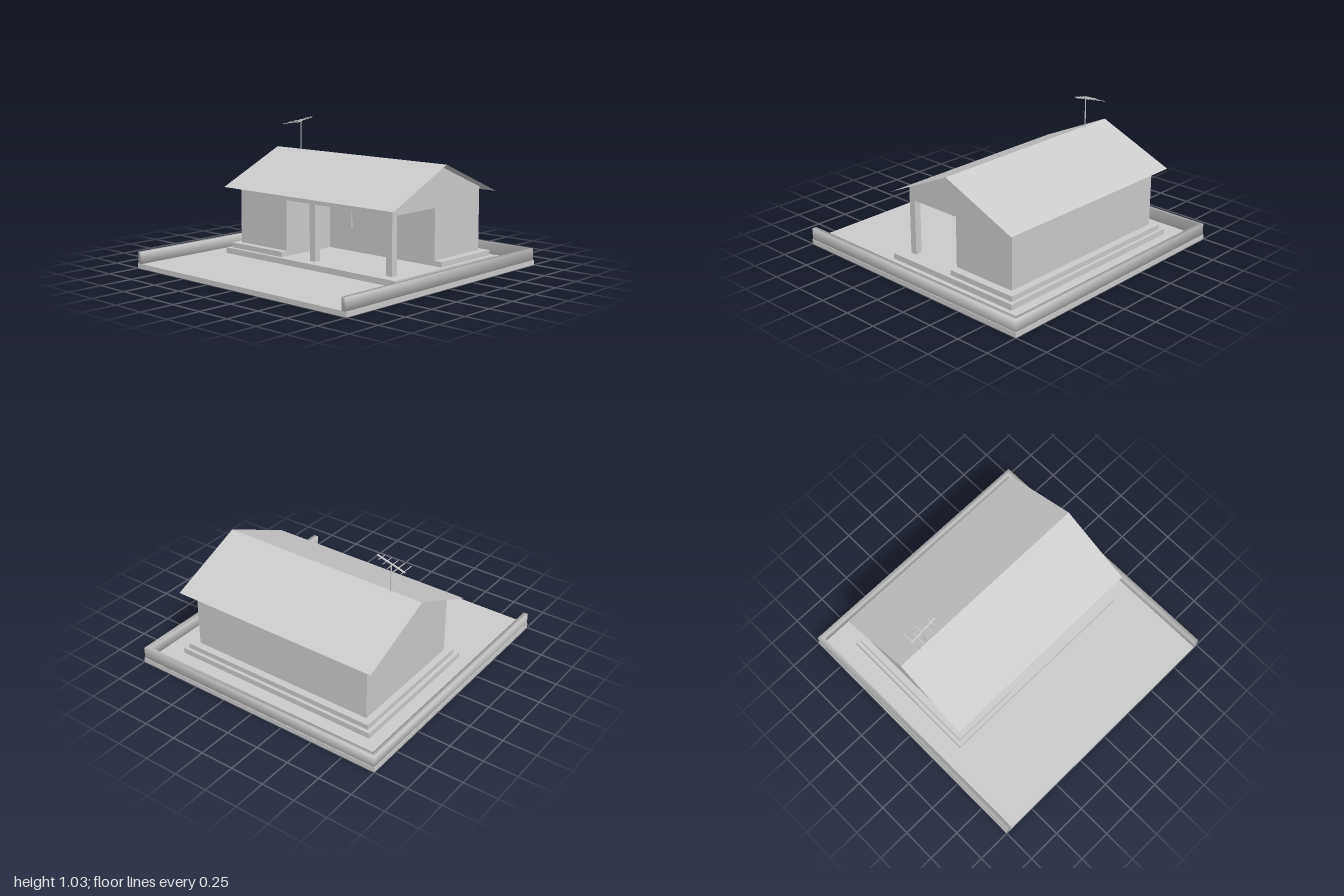
import * as THREE from 'three';
import { mergeVertices } from 'three/addons/utils/BufferGeometryUtils.js';

const grey = new THREE.MeshStandardMaterial({ color: 0xcccccc });
const sheet = new THREE.MeshStandardMaterial({ color: 0xcccccc, side: THREE.DoubleSide });

export function createModel() {
  const model = new THREE.Group();

  const add = (name, geometry, material = grey, parent = model) => {
    const mesh = new THREE.Mesh(geometry, material);
    mesh.name = name;
    parent.add(mesh);
    return mesh;
  };
  // Box given by its limits on each axis
  const block = (name, x0, x1, y0, y1, z0, z1, parent) =>
    add(name, new THREE.BoxGeometry(x1 - x0, y1 - y0, z1 - z0), grey, parent)
      .position.set((x0 + x1) / 2, (y0 + y1) / 2, (z0 + z1) / 2);
  const extrude = (points, depth) => new THREE.ExtrudeGeometry(
    new THREE.Shape(points.map(([a, b]) => new THREE.Vector2(a, b))), { depth, bevelEnabled: false });
  // Floor plan of [x, z] points raised from y0 to y1
  const plan = (points, y0, y1) =>
    extrude(points.map(([x, z]) => [x, -z]), y1 - y0).rotateX(-Math.PI / 2).translate(0, y0, 0);
  // Side profile of [z, y] points swept from x0 to x1
  const sweep = (points, x0, x1) =>
    extrude(points.map(([z, y]) => [-z, y]), x1 - x0).rotateY(Math.PI / 2).translate(x0, 0, 0);

  // Ground slab and the low wall around three sides, softly shaded
  block('groundSlab', -1, 1, 0, 0.035, -1, 1);
  let fence = plan([[-0.995, 1], [-0.995, -0.995], [0.995, -0.995], [0.995, 1],
    [0.96, 1], [0.96, -0.963], [-0.96, -0.963], [-0.96, 1]], 0.035, 0.12);
  fence.deleteAttribute('normal');
  fence.deleteAttribute('uv');
  fence = mergeVertices(fence);
  fence.computeVertexNormals();
  add('boundaryWall', fence);

  // Lower plinth, and upper step that leaves out the porch
  block('plinth', -0.81, 0.81, 0.035, 0.077, -0.785, 0.33);
  add('upperStep', plan([[-0.78, 0.3], [-0.78, -0.76], [0.78, -0.76], [0.78, -0.2],
    [-0.26, -0.2], [-0.26, 0.3]], 0.077, 0.115));

  // House body: a full room on one side, a porch cut into the other
  const backEave = [-0.705, 0.575], peak = [-0.205, 0.782], frontEave = [0.25, 0.573];
  add('frontRoom', sweep([[-0.705, 0.115], backEave, peak, frontEave, [0.25, 0.115]], -0.73, -0.26));
  add('backRooms', sweep([[-0.705, 0.115], backEave, peak, frontEave,
    [0.25, 0.48], [-0.2, 0.48], [-0.2, 0.115]], -0.26, 0.72));
  for (const x of [-0.03, 0.67]) block('porchPost', x, x + 0.05, 0.077, 0.48, 0.2, 0.25);

  // Thin two-slope roof
  const roofLine = [[0.345, 0.53], [-0.205, 0.785], [-0.782, 0.543]];
  for (let i = 0; i < 2; i++) {
    const [[z0, y0], [z1, y1]] = [roofLine[i], roofLine[i + 1]];
    const slope = new THREE.BufferGeometry();
    slope.setAttribute('position', new THREE.Float32BufferAttribute(
      [-0.81, y0, z0, 0.81, y0, z0, 0.81, y1, z1, -0.81, y1, z1], 3));
    slope.setIndex([0, 1, 2, 0, 2, 3]);
    slope.computeVertexNormals();
    add(i ? 'backRoofSlope' : 'frontRoofSlope', slope, sheet);
  }

  // Hanging porch lamp
  const lamp = new THREE.Group();
  lamp.name = 'porchLamp';
  lamp.position.set(0.337, 0, 0.22);
  model.add(lamp);
  const lampPart = (name, radius, y0, y1) =>
    add(name, new THREE.CylinderGeometry(radius, radius, y1 - y0, 8), grey, lamp)
      .position.y = (y0 + y1) / 2;
  lampPart('lampCord', 0.002, 0.405, 0.48);
  lampPart('lampSocket', 0.008, 0.39, 0.41);
  lampPart('lampNeck', 0.004, 0.38, 0.39);
  lampPart('lampBulb', 0.008, 0.357, 0.38);

  // Roof aerial: mast, tilted boom, and rods that shorten towards one end
  block('aerialMast', -0.573, -0.567, 0.77, 1.0, -0.218, -0.212);
  const aerial = new THREE.Group();
  aerial.name = 'aerial';
  aerial.position.set(-0.57, 1.0, -0.218);
  aerial.rotation.z = 0.264;
  model.add(aerial);
  block('aerialBoom', -0.114, 0.114, -0.003, 0.003, -0.006, 0.006, aerial);
  for (let i = 0; i < 5; i++) {
    const x = -0.104 + i * 0.0455, half = 0.09 - i * 0.0132;
    block('aerialRod', x - 0.002, x + 0.002, -0.002, 0.002, -half, half, aerial);
  }
  return model;
}
